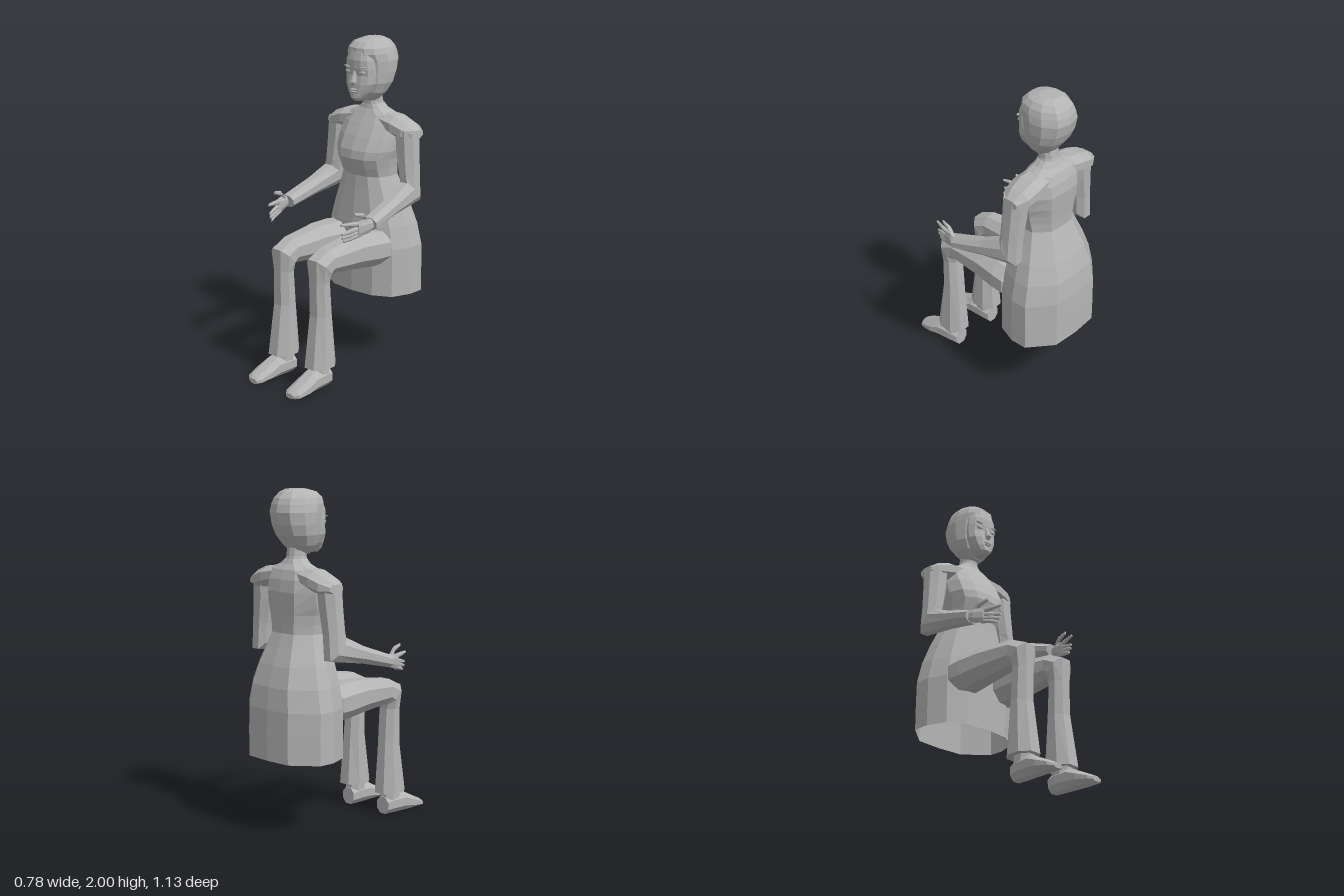
import * as THREE from 'three';

const grey = new THREE.MeshStandardMaterial({ color: 0xb4b4b4, flatShading: true, side: THREE.DoubleSide });
grey.name = 'plain grey';

// Half outline of the body section (x, z), front to back, and the octagon used for limbs
const BODY = [[0, 1], [0.5, 0.93], [0.85, 0.65], [1, 0.1], [1, -0.38], [0.54, -0.95], [0, -1]];
const HEAD = [[0, 1], [0.45, 0.94], [0.82, 0.68], [1, 0.2], [0.96, -0.35], [0.6, -0.85], [0, -1]];
const OCT = [[0.45, 1], [1, 0.42], [1, -0.42], [0.45, -1], [-0.45, -1], [-1, -0.42], [-1, 0.42], [-0.45, 1]];

// Skins a list of rings, with optional end caps, and turns all faces outward
function loft(name, rings, capStart = true, capEnd = true) {
  const n = rings[0].length, pos = rings.flat(2), idx = [];
  for (let r = 0; r < rings.length - 1; r++) {
    for (let i = 0; i < n; i++) {
      const j = (i + 1) % n, a = r * n, b = a + n;
      idx.push(a + i, a + j, b + j, a + i, b + j, b + i);
    }
  }
  const last = (rings.length - 1) * n;
  for (let i = 1; i < n - 1; i++) {
    if (capStart) idx.push(0, i + 1, i);
    if (capEnd) idx.push(last, last + i, last + i + 1);
  }
  let g = new THREE.BufferGeometry();
  g.setAttribute('position', new THREE.Float32BufferAttribute(pos, 3));
  g.computeBoundingBox();
  const mid = g.boundingBox.getCenter(new THREE.Vector3());
  const p = (i) => new THREE.Vector3(...pos.slice(i * 3, i * 3 + 3)).sub(mid);
  let volume = 0;
  for (let i = 0; i < idx.length; i += 3) volume += p(idx[i]).dot(p(idx[i + 1]).cross(p(idx[i + 2])));
  if (volume < 0) idx.reverse();
  g.setIndex(idx);
  g = g.toNonIndexed();
  g.computeVertexNormals();
  const mesh = new THREE.Mesh(g, grey);
  mesh.name = name;
  return mesh;
}

// Horizontal symmetric section: height, half width, front z, back z
function level([y, w, f, b], half) {
  const mirror = half.slice(1, -1).reverse().map(([x, z]) => [-x, z]);
  return [...half, ...mirror].map(([x, z]) => [x * w, y, (f + b) / 2 + z * (f - b) / 2]);
}

// Limb section: centre, half width in x, half depth in a direction tilted from +z (0) to +y (90)
function limbRing([x, y, z, a, b, deg], s) {
  const t = THREE.MathUtils.degToRad(deg);
  return OCT.map(([u, v]) => [s * (x + u * a), y + v * b * Math.sin(t), z + v * b * Math.cos(t)]);
}
const limb = (name, s, list, c0, c1) => loft(name, list.map((r) => limbRing(r, s)), c0, c1);
const stack = (name, list, half, c0, c1) => loft(name, list.map((r) => level(r, half)), c0, c1);

function blob(name, x, y, z, sx, sy, sz, turn = 0) {
  const mesh = new THREE.Mesh(new THREE.SphereGeometry(1, 8, 6), grey);
  mesh.name = name;
  mesh.position.set(x, y, z);
  mesh.scale.set(sx, sy, sz);
  mesh.rotation.z = turn;
  return mesh;
}

function buildHead() {
  const head = new THREE.Group();
  head.name = 'head';
  head.add(stack('hair', [
    [1.63, 0.05, -0.245, -0.34], [1.68, 0.1, -0.215, -0.385], [1.74, 0.128, -0.2, -0.432],
    [1.8, 0.137, -0.195, -0.46], [1.87, 0.14, -0.182, -0.475], [1.915, 0.132, -0.162, -0.467],
    [1.95, 0.12, -0.166, -0.452], [1.982, 0.095, -0.2, -0.42], [2.0, 0.055, -0.265, -0.385],
  ], HEAD));
  head.add(stack('face', [
    [1.635, 0.03, -0.165, -0.25], [1.655, 0.048, -0.143, -0.28], [1.69, 0.076, -0.145, -0.3],
    [1.74, 0.1, -0.148, -0.3], [1.79, 0.105, -0.156, -0.3], [1.83, 0.105, -0.15, -0.3],
    [1.88, 0.1, -0.15, -0.3], [1.945, 0.082, -0.168, -0.3],
  ], HEAD));
  head.add(stack('nose', [
    [1.735, 0.016, -0.14, -0.18], [1.752, 0.018, -0.121, -0.18], [1.82, 0.01, -0.15, -0.18],
  ], HEAD));
  head.add(blob('upperLip', 0, 1.706, -0.146, 0.028, 0.007, 0.012));
  head.add(blob('lowerLip', 0, 1.693, -0.146, 0.024, 0.008, 0.012));
  for (const s of [1, -1]) {
    head.add(blob('eye', s * 0.053, 1.808, -0.162, 0.026, 0.011, 0.01, s * 0.1));
    head.add(blob('eyebrow', s * 0.055, 1.838, -0.159, 0.034, 0.005, 0.01, s * 0.12));
  }
  return head;
}

function buildArm(s) {
  const arm = new THREE.Group();
  arm.name = s > 0 ? 'leftArm' : 'rightArm';
  // Shoulder cap, running outward along x
  const cap = [[0.1, 1.51, 0.085, 0.05], [0.2, 1.49, 0.095, 0.06], [0.28, 1.467, 0.087, 0.052], [0.34, 1.455, 0.05, 0.025]];
  arm.add(loft('shoulder', cap.map(([x, y, a, b]) =>
    OCT.map(([u, v]) => [s * x, y + v * b, -0.335 + u * a]))));
  arm.add(limb('sleeve', s, [
    [0.27, 1.48, -0.325, 0.07, 0.07, 0], [0.28, 1.35, -0.32, 0.068, 0.066, 0],
    [0.3, 1.2, -0.315, 0.058, 0.063, 5], [0.31, 1.11, -0.315, 0.057, 0.088, 45],
    [0.323, 1.06, -0.13, 0.055, 0.05, 80], [0.337, 1.0, 0.08, 0.053, 0.037, 80],
  ]));
  // Hand with the palm facing inward
  arm.add(limb('palm', s, [
    [0.35, 1.0, 0.06, 0.02, 0.026, 90], [0.346, 0.995, 0.11, 0.02, 0.042, 90],
    [0.328, 0.983, 0.175, 0.014, 0.045, 90],
  ]));
  for (const [y0, y1, z1] of [[1.013, 1.024, 0.278], [0.99, 0.967, 0.272], [0.97, 0.944, 0.268], [0.953, 0.922, 0.255]]) {
    arm.add(limb('finger', s, [
      [0.332, y0, 0.15, 0.012, 0.014, 90], [0.315, (y0 + y1) / 2, 0.215, 0.011, 0.013, 90],
      [0.296, y1, z1, 0.006, 0.007, 90],
    ]));
  }
  arm.add(limb('thumb', s, [
    [0.345, 1.01, 0.09, 0.014, 0.022, 70], [0.338, 1.06, 0.135, 0.013, 0.018, 70],
    [0.325, 1.078, 0.2, 0.007, 0.009, 90],
  ]));
  return arm;
}

function buildLeg(s) {
  const leg = new THREE.Group();
  leg.name = s > 0 ? 'leftLeg' : 'rightLeg';
  leg.add(limb('trouserLeg', s, [
    [0.15, 0.785, -0.26, 0.07, 0.035, 90], [0.152, 0.76, -0.2, 0.112, 0.1, 90],
    [0.152, 0.765, -0.12, 0.108, 0.108, 90], [0.15, 0.775, 0.02, 0.095, 0.1, 90],
    [0.15, 0.772, 0.25, 0.075, 0.075, 85], [0.148, 0.742, 0.304, 0.077, 0.08, 45],
    [0.148, 0.66, 0.303, 0.062, 0.055, 0], [0.15, 0.45, 0.295, 0.065, 0.062, 0],
    [0.153, 0.135, 0.305, 0.081, 0.095, 0],
  ]));
  leg.add(limb('ankle', s, [[0.153, 0.04, 0.31, 0.055, 0.06, 0], [0.15, 0.15, 0.31, 0.052, 0.06, 0]]));
  leg.add(limb('shoe', s, [
    [0.15, 0.052, 0.245, 0.048, 0.052, 90], [0.152, 0.06, 0.3, 0.058, 0.06, 90],
    [0.156, 0.06, 0.39, 0.062, 0.06, 90], [0.16, 0.042, 0.46, 0.066, 0.042, 90],
    [0.16, 0.023, 0.54, 0.056, 0.023, 90], [0.155, 0.018, 0.563, 0.03, 0.015, 90],
  ]));
  return leg;
}

export function createModel() {
  const model = new THREE.Group();
  model.name = 'seatedWoman';
  // Dress, open at the hem, running up into the chest
  model.add(stack('dress', [
    [0.45, 0.31, -0.133, -0.563], [0.6, 0.31, -0.133, -0.563], [0.75, 0.309, -0.133, -0.56],
    [0.88, 0.28, -0.14, -0.545], [1.0, 0.24, -0.152, -0.51], [1.1, 0.2, -0.162, -0.47],
    [1.18, 0.17, -0.168, -0.44],
  ], BODY, false, false));
  model.add(stack('bodice', [
    [1.18, 0.17, -0.168, -0.44], [1.235, 0.175, -0.142, -0.442], [1.29, 0.185, -0.122, -0.446],
    [1.34, 0.2, -0.13, -0.45], [1.42, 0.205, -0.168, -0.455], [1.49, 0.2, -0.21, -0.445],
    [1.545, 0.17, -0.245, -0.425], [1.575, 0.095, -0.262, -0.4], [1.605, 0.06, -0.27, -0.385],
  ], BODY, false, false));
  model.add(stack('neck', [[1.58, 0.066, -0.268, -0.392], [1.62, 0.056, -0.27, -0.38], [1.7, 0.055, -0.25, -0.37]], HEAD));
  model.add(buildHead());
  for (const s of [1, -1]) model.add(buildArm(s), buildLeg(s));
  return model;
}
